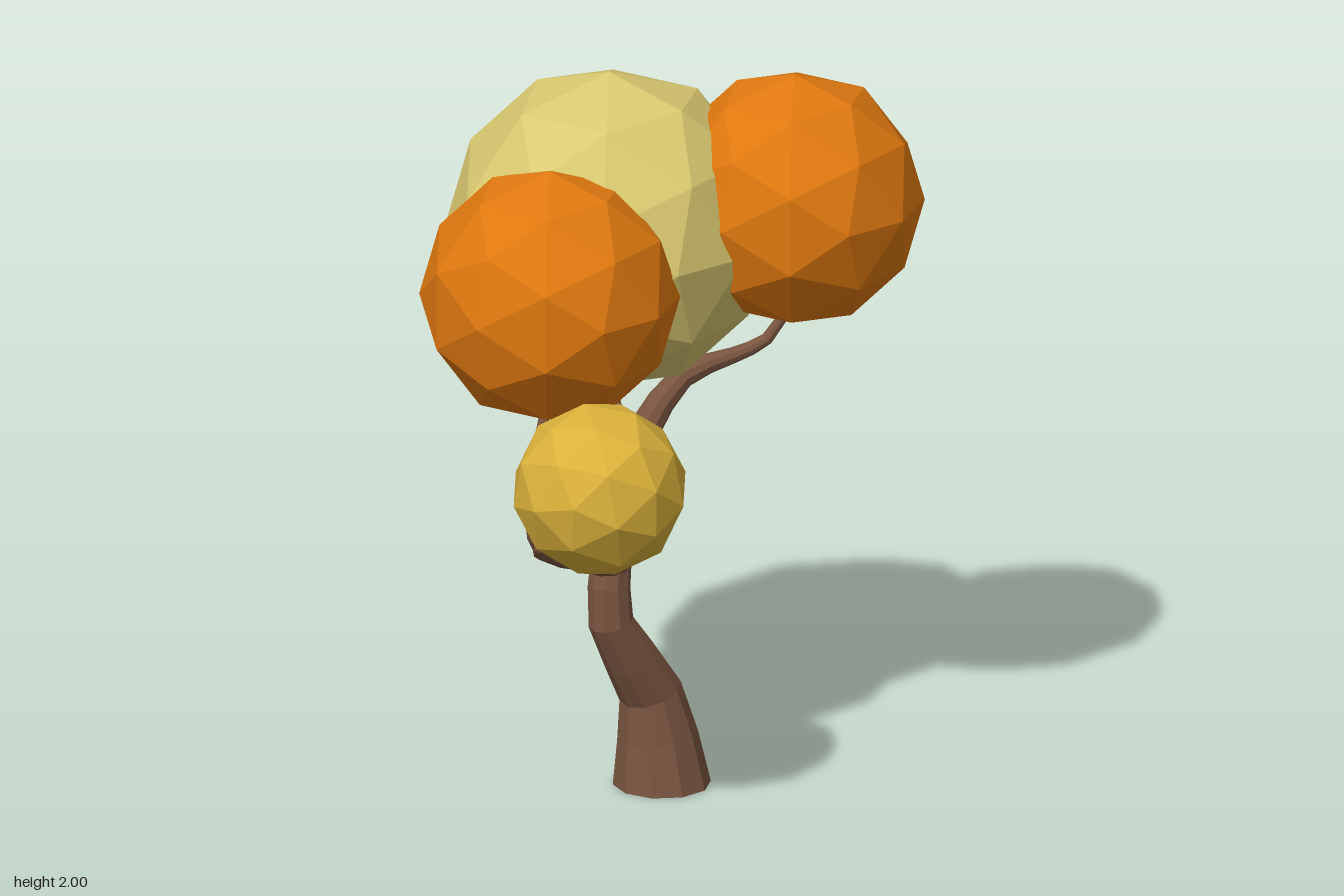
import * as THREE from 'three';

const flat = (name, color) => {
  const m = new THREE.MeshStandardMaterial({ color, flatShading: true });
  m.name = name;
  return m;
};

// Tapered limb: each point is [x, y, z, radius]
function limb(name, points, material, sides = 10, stepsPerSpan = 2) {
  const curve = new THREE.CatmullRomCurve3(points.map(p => new THREE.Vector3(p[0], p[1], p[2])));
  curve.getPointAt = curve.getPoint; // keep rings in step with the points
  curve.getTangentAt = curve.getTangent;
  const spans = points.length - 1;
  const rings = spans * stepsPerSpan;
  const geo = new THREE.TubeGeometry(curve, rings, 1, sides, false);
  const pos = geo.attributes.position;
  const v = new THREE.Vector3();
  for (let i = 0; i <= rings; i++) {
    const centre = curve.getPoint(i / rings);
    const t = i / stepsPerSpan;
    const k = Math.min(Math.floor(t), spans - 1);
    const radius = THREE.MathUtils.lerp(points[k][3], points[k + 1][3], t - k);
    for (let j = 0; j <= sides; j++) {
      const n = i * (sides + 1) + j;
      v.fromBufferAttribute(pos, n).sub(centre).multiplyScalar(radius).add(centre);
      // the trunk's first ring lies flat on the ground
      pos.setXYZ(n, v.x, i === 0 && points[0][1] === 0 ? 0 : v.y, v.z);
    }
  }
  geo.computeVertexNormals();
  const mesh = new THREE.Mesh(geo, material);
  mesh.name = name;
  return mesh;
}

// Faceted foliage ball with a five-sided corner facing the front
function foliage(name, radius, centre, material, tilt = [0, 0, 0]) {
  const geo = new THREE.IcosahedronGeometry(radius, 1);
  geo.rotateX(Math.atan(2 / (1 + Math.sqrt(5))));
  geo.rotateZ(Math.PI / 2);
  const mesh = new THREE.Mesh(geo, material);
  mesh.position.set(...centre);
  mesh.rotation.set(...tilt);
  mesh.name = name;
  return mesh;
}

export function createModel() {
  const tree = new THREE.Group();
  tree.name = 'autumnTree';
  const bark = flat('bark brown', 0x7a5540);
  const orange = flat('leaf orange', 0xdf780f);
  const gold = flat('leaf gold', 0xdab13a);
  const pale = flat('leaf pale yellow', 0xd9c870);

  // Trunk, thinning into the branch under the right-hand crown
  tree.add(limb('trunk', [
    [-0.005, 0, 0, 0.135],
    [-0.04, 0.27, 0, 0.087],
    [-0.175, 0.5, 0.04, 0.062],
    [-0.165, 0.7, 0.025, 0.055],
    [-0.135, 0.88, 0.005, 0.05],
    [-0.06, 1.02, 0, 0.045],
    [0.06, 1.16, -0.005, 0.034],
    [0.21, 1.2, 0.0, 0.022],
    [0.3, 1.24, 0.02, 0.017],
    [0.38, 1.36, 0.03, 0.012],
  ], bark));

  // Underside of the trunk
  const base = new THREE.Mesh(new THREE.CircleGeometry(0.134, 10), bark);
  base.rotation.x = Math.PI / 2;
  base.position.set(-0.005, 0.001, 0);
  base.name = 'trunkBase';
  tree.add(base);

  // Side branch, bending up to the left-hand crown
  tree.add(limb('sideBranch', [
    [-0.16, 0.67, 0.04, 0.05],
    [-0.28, 0.72, 0.09, 0.04],
    [-0.41, 0.77, 0.125, 0.033],
    [-0.455, 0.87, 0.145, 0.022],
    [-0.44, 1.02, 0.135, 0.018],
    [-0.39, 1.18, 0.09, 0.013],
  ], bark, 8));

  // Fork carrying the small crown
  tree.add(limb('forkBranch', [
    [-0.37, 0.755, 0.11, 0.03],
    [-0.45, 0.785, 0.18, 0.02],
    [-0.46, 0.835, 0.235, 0.016],
    [-0.4, 0.93, 0.33, 0.01],
  ], bark, 8));

  // Short rear branch under the large crown
  tree.add(limb('rearBranch', [
    [-0.085, 0.98, 0, 0.03],
    [-0.08, 1.015, -0.08, 0.024],
    [-0.078, 1.05, -0.145, 0.019],
    [-0.08, 1.15, -0.175, 0.013],
  ], bark, 8));

  // Crowns
  tree.add(
    foliage('largeCrown', 0.447, [-0.08, 1.553, -0.178], pale),
    foliage('leftCrown', 0.355, [0.377, 1.638, 0.029], orange),
    foliage('rightCrown', 0.355, [-0.38, 1.488, 0.09], orange),
    foliage('smallCrown', 0.24, [-0.367, 1.022, 0.388], gold, [0.35, 0.3, 0.25]),
  );
  return tree;
}
